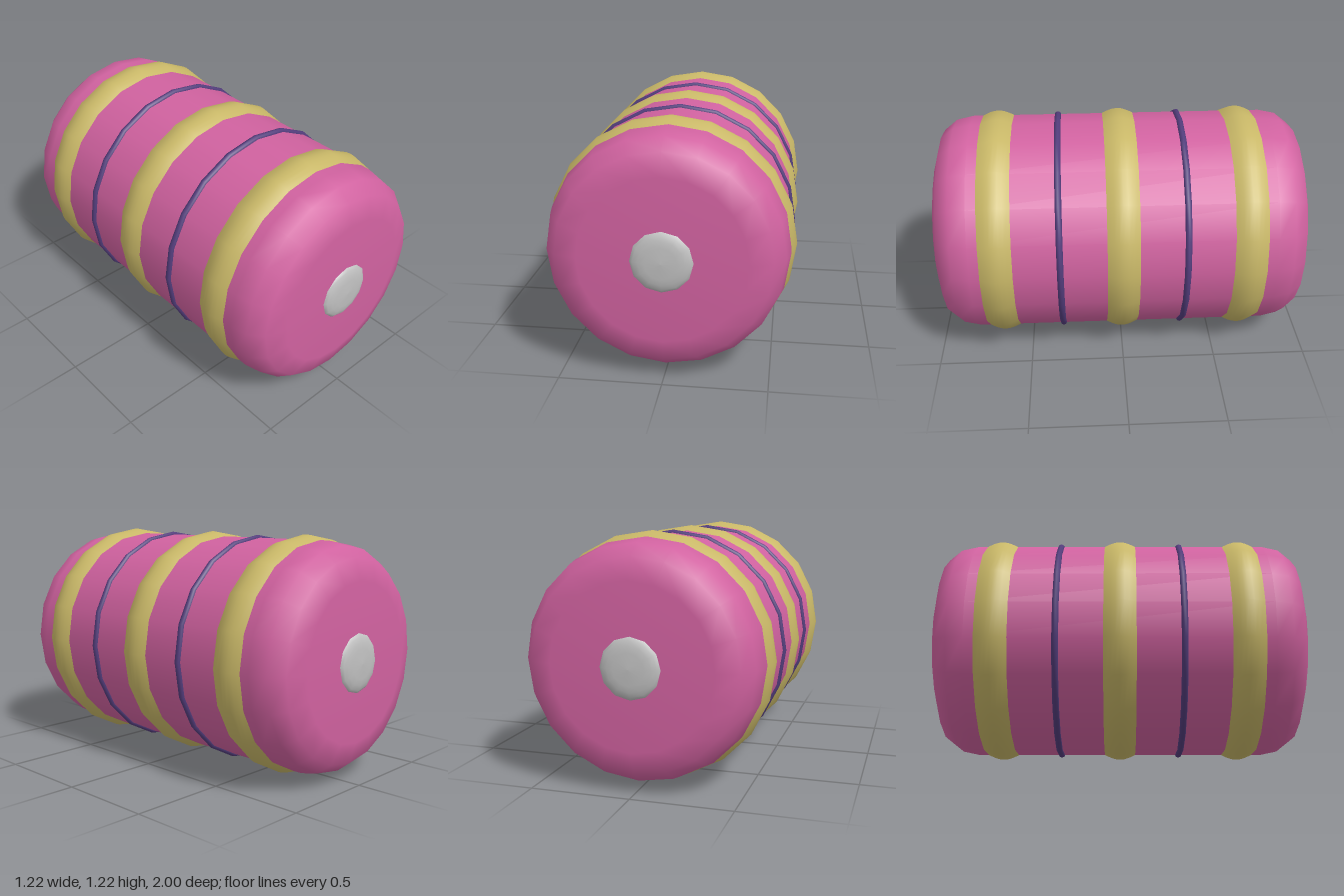
import * as THREE from 'three';

const SIDES = 20;
const BODY_R = 0.584;
const AXIS_Y = 0.61;

const pink = new THREE.MeshStandardMaterial({ color: 0xd162a0 });
pink.name = 'pink';
const gold = new THREE.MeshStandardMaterial({ color: 0xc8b767 });
gold.name = 'gold';
const purple = new THREE.MeshStandardMaterial({ color: 0x533d7c });
purple.name = 'purple';
const silver = new THREE.MeshStandardMaterial({ color: 0xc0c0c0 });
silver.name = 'silver';

// Lathe around the z axis from [radius, z] pairs, ordered back to front
function turned(name, points, sides, material) {
  const profile = points.map(([r, z]) => new THREE.Vector2(r, z));
  const geometry = new THREE.LatheGeometry(profile, sides).rotateX(Math.PI / 2);
  const mesh = new THREE.Mesh(geometry, material);
  mesh.name = name;
  return mesh;
}

export function createModel() {
  const model = new THREE.Group();
  model.name = 'barrel';
  const barrel = new THREE.Group();
  barrel.name = 'barrelParts';
  barrel.position.y = AXIS_Y;
  model.add(barrel);

  // Drum with rounded ends
  const end = [[BODY_R, 0.78], [0.565, 0.87], [0.51, 0.94], [0.4, 0.972], [0, 0.972]];
  const start = end.map(([r, z]) => [r, -z]).reverse();
  barrel.add(turned('drum', [...start, ...end], SIDES, pink));

  // Three bulging bands
  const bulge = [];
  for (let i = -4; i <= 4; i++) {
    const t = i / 4;
    bulge.push([0.578 + 0.032 * Math.cos(t * Math.PI / 2), 0.095 * t]);
  }
  for (const z of [-0.645, 0, 0.645]) {
    const band = turned('band', bulge, SIDES, gold);
    band.position.z = z;
    barrel.add(band);
  }

  // Two thin cords between the bands
  for (const z of [-0.323, 0.323]) {
    const cord = new THREE.Mesh(new THREE.TorusGeometry(0.581, 0.018, 8, SIDES), purple);
    cord.name = 'cord';
    cord.position.z = z;
    barrel.add(cord);
  }

  // Shallow domed button on each end
  const dome = [[0.153, 0.955], [0.148, 0.972], [0.133, 0.983], [0.108, 0.991], [0.077, 0.996], [0, 1]];
  for (const side of [1, -1]) {
    const button = turned('endButton', dome, 12, silver);
    if (side < 0) button.rotation.y = Math.PI;
    barrel.add(button);
  }

  return model;
}
